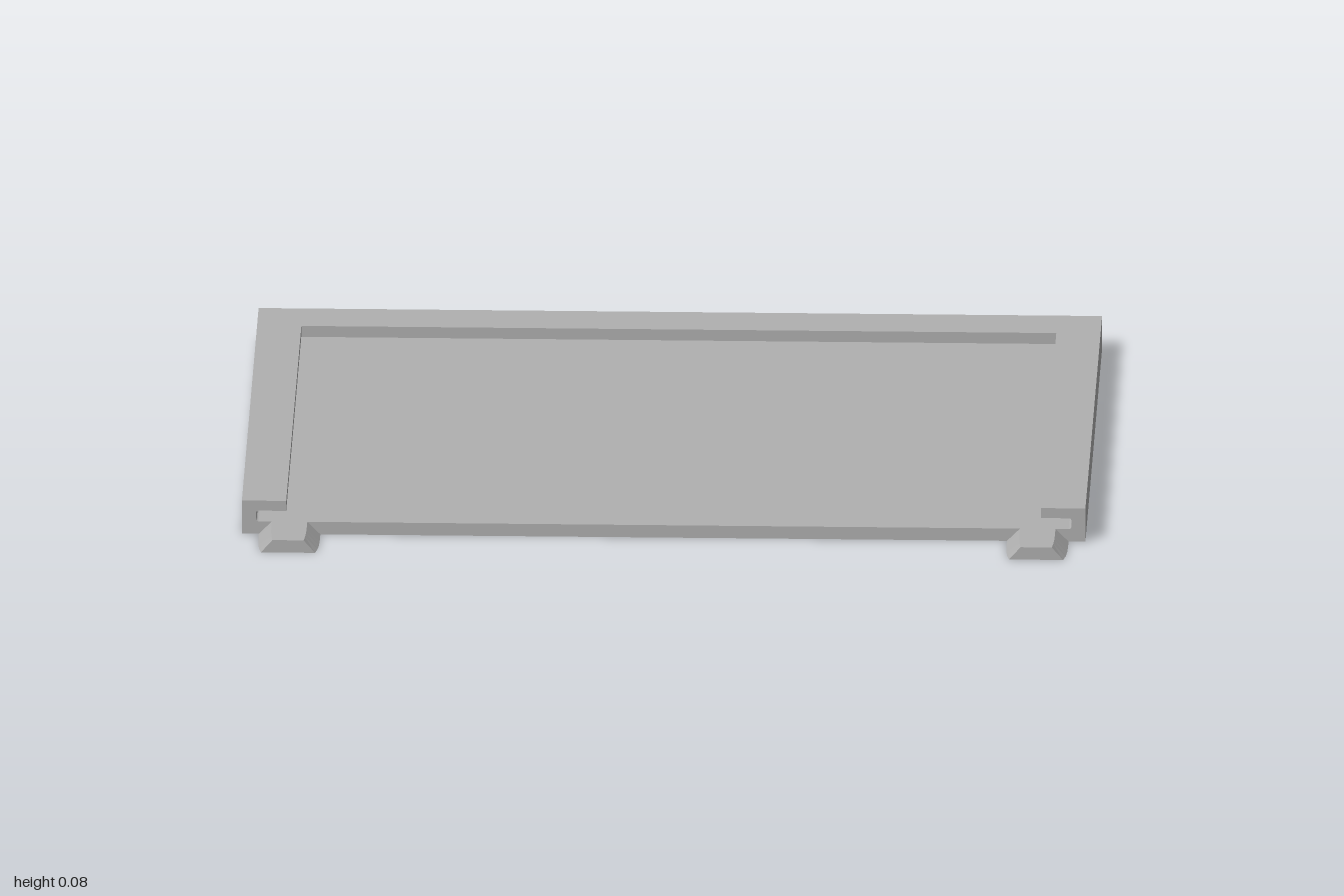
import * as THREE from 'three';

const H = 0.083;                    // full height
const FLOOR = 0.031, SLOT = 0.058;  // bottom and top of the card slot
const BACK = -0.755, FRONT = 0.622, TIP = 0.755;
const OPEN = 0.895, SLOT_X = 0.967, SLOT_Z = -0.7, OPEN_Z = -0.63;

export function createModel() {
  const group = new THREE.Group();
  group.name = 'slidingTray';
  const grey = new THREE.MeshStandardMaterial({ color: 0xb0b0b0, flatShading: true });
  grey.name = 'grey plastic';

  const add = (name, geometry) => {
    const mesh = new THREE.Mesh(geometry, grey);
    mesh.name = name;
    group.add(mesh);
    return mesh;
  };
  // box given by its limits
  const block = (name, x0, x1, y0, y1, z0, z1) =>
    add(name, new THREE.BoxGeometry(x1 - x0, y1 - y0, z1 - z0)
      .translate((x0 + x1) / 2, (y0 + y1) / 2, (z0 + z1) / 2));

  // floor, back wall and the lip overhanging the slot at the back
  block('floor', -OPEN, OPEN, 0, FLOOR, SLOT_Z, FRONT);
  block('backWall', -1, 1, 0, H, BACK, SLOT_Z);
  block('backLip', -OPEN, OPEN, SLOT, H, SLOT_Z, OPEN_Z);

  for (const s of [1, -1]) {
    const side = s > 0 ? 'left' : 'right';

    // C-shaped side rail with softened slot corners
    const r = 0.007;
    const rail = new THREE.Shape();
    rail.moveTo(s * OPEN, 0);
    rail.lineTo(s, 0);
    rail.lineTo(s, H);
    rail.lineTo(s * OPEN, H);
    rail.lineTo(s * OPEN, SLOT);
    rail.lineTo(s * (SLOT_X - r), SLOT);
    rail.quadraticCurveTo(s * SLOT_X, SLOT, s * SLOT_X, SLOT - r);
    rail.lineTo(s * SLOT_X, FLOOR + r);
    rail.quadraticCurveTo(s * SLOT_X, FLOOR, s * (SLOT_X - r), FLOOR);
    rail.lineTo(s * OPEN, FLOOR);
    rail.closePath();
    add(side + 'Rail', new THREE.ExtrudeGeometry(rail,
      { depth: FRONT - SLOT_Z, bevelEnabled: false, curveSegments: 4 }).translate(0, 0, SLOT_Z));

    // front tab with sloping sides, slightly narrowed at the tip
    const tab = new THREE.Shape([[-0.073, 0], [0.073, 0], [0.042, FLOOR], [-0.042, FLOOR]]
      .map(([x, y]) => new THREE.Vector2(x, y)));
    const tabGeometry = new THREE.ExtrudeGeometry(tab,
      { depth: TIP - FRONT, steps: 5, bevelEnabled: false });
    const p = tabGeometry.attributes.position;
    for (let i = 0; i < p.count; i++) {
      const t = p.getZ(i) / (TIP - FRONT);
      p.setX(i, p.getX(i) * (1 - 0.12 * t ** 4));
    }
    tabGeometry.computeVertexNormals();
    add(side + 'Tab', tabGeometry).position.set(s * 0.887, 0, FRONT);
  }
  return group;
}
